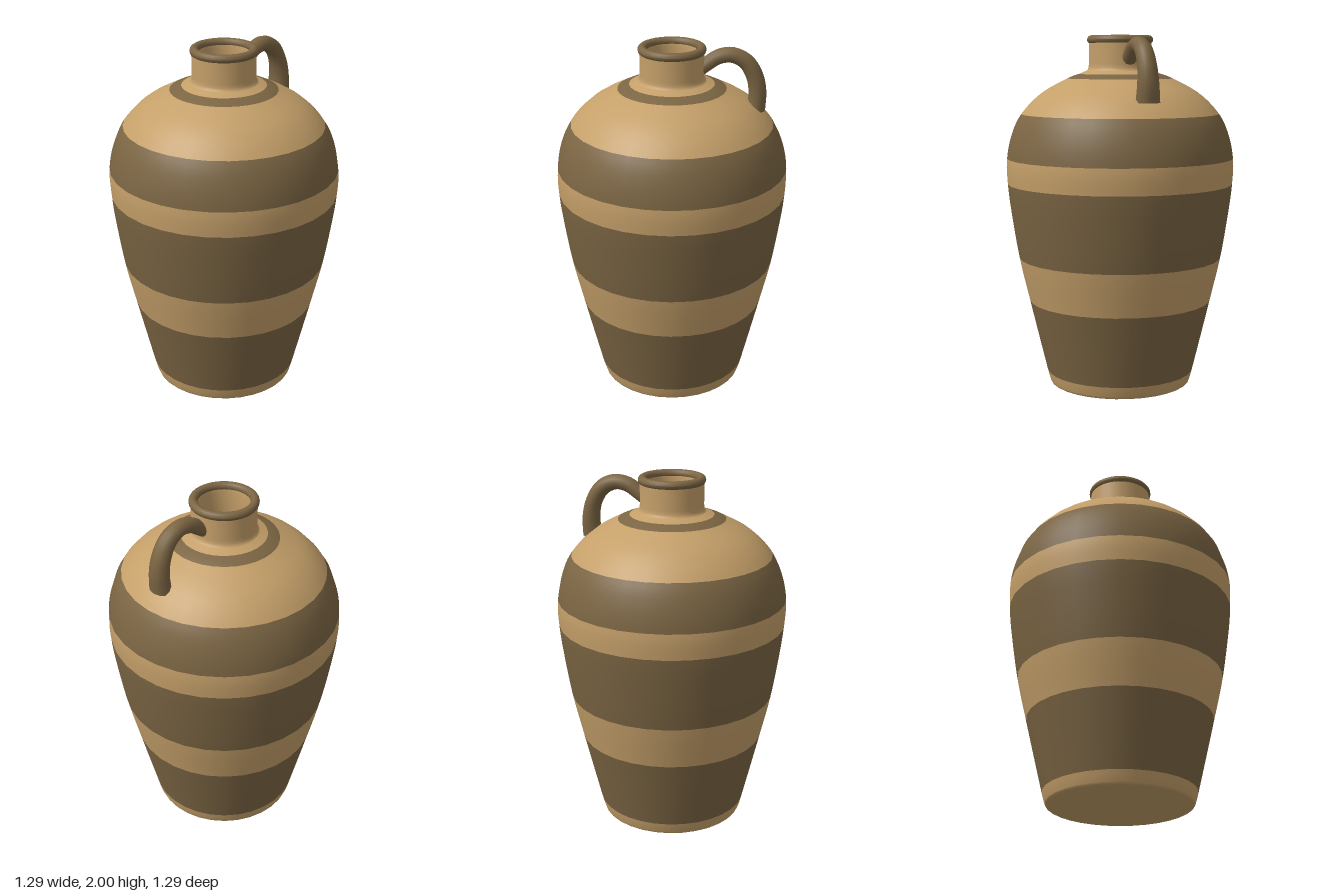
import * as THREE from 'three';

const SEGMENTS = 32;
const tan = new THREE.MeshStandardMaterial({ color: 0xc49f69 });
const dark = new THREE.MeshStandardMaterial({ color: 0x7b6543 });

const toPoints = (list) => list.map(([r, y]) => new THREE.Vector2(r, y));

// Outer body profile, sampled finely so it can be cut at any height
const profile = new THREE.SplineCurve(toPoints([
  [0.407, 0.015], [0.425, 0.08], [0.523, 0.49], [0.58, 0.74], [0.622, 1.0], [0.641, 1.16],
  [0.645, 1.3], [0.618, 1.44], [0.562, 1.56], [0.45, 1.675], [0.3, 1.759], [0.235, 1.784], [0.19, 1.803],
])).getPoints(240);

function radiusAt(y) {
  const i = Math.max(1, profile.findIndex((p) => p.y >= y));
  const a = profile[i - 1], b = profile[i];
  return THREE.MathUtils.lerp(a.x, b.x, (y - a.y) / (b.y - a.y));
}

function turned(name, points, material) {
  const geometry = new THREE.LatheGeometry(points, SEGMENTS, Math.PI / SEGMENTS);
  const mesh = new THREE.Mesh(geometry, material);
  mesh.name = name;
  return mesh;
}

// Handle: a tube on a planar arch, narrow at the neck and broad at the shoulder
function createHandle() {
  const path = new THREE.CatmullRomCurve3([
    [0.15, 1.865], [0.19, 1.895], [0.25, 1.935], [0.325, 1.946],
    [0.4, 1.91], [0.45, 1.83], [0.468, 1.74], [0.463, 1.64],
  ].map(([s, y]) => new THREE.Vector3(s, y, 0)));
  const rings = 28, sides = 12;
  const geometry = new THREE.TubeGeometry(path, rings, 1, sides);
  const pos = geometry.attributes.position;
  const v = new THREE.Vector3();
  for (let i = 0; i <= rings; i++) {
    const t = i / rings;
    const centre = path.getPointAt(t);
    const depth = 0.039 + 0.012 * t;
    const width = 0.044 + 0.026 * t * t;
    for (let j = 0; j <= sides; j++) {
      const k = i * (sides + 1) + j;
      v.fromBufferAttribute(pos, k).sub(centre);
      pos.setXYZ(k, centre.x + v.x * depth, centre.y + v.y * depth, v.z * width);
    }
  }
  const group = new THREE.Group();
  group.name = 'handle';
  const tube = new THREE.Mesh(geometry, dark);
  tube.name = 'handleArch';
  // Closed lower end, resting in the shoulder
  const cap = new THREE.Mesh(new THREE.CircleGeometry(1, sides), dark);
  cap.name = 'handleFoot';
  cap.rotation.x = Math.PI / 2;
  cap.scale.set(0.051, 0.07, 1);
  cap.position.set(0.463, 1.64, 0);
  group.add(tube, cap);
  group.rotation.y = THREE.MathUtils.degToRad(39);
  return group;
}

export function createModel() {
  const jug = new THREE.Group();
  jug.name = 'jug';

  // Painted bands, alternating light and dark up the body
  const cuts = [0.015, 0.075, 0.49, 0.74, 1.165, 1.31, 1.56, 1.759, 1.784, 1.803];
  for (let i = 0; i < cuts.length - 1; i++) {
    const steps = Math.max(3, Math.ceil((cuts[i + 1] - cuts[i]) / 0.025));
    const points = [];
    for (let j = 0; j <= steps; j++) {
      const y = THREE.MathUtils.lerp(cuts[i], cuts[i + 1], j / steps);
      points.push(new THREE.Vector2(radiusAt(y), y));
    }
    jug.add(turned(i % 2 ? 'darkBand' : 'lightBand', points, i % 2 ? dark : tan));
  }

  // Base with a small rounded edge
  jug.add(turned('base', toPoints([[0, 0], [0.385, 0], [0.396, 0.002], [0.404, 0.007], [0.407, 0.015]]), tan));

  // Neck with a fillet into the shoulder
  jug.add(turned('neck', toPoints([[0.19, 1.803], [0.183, 1.809], [0.179, 1.82], [0.177, 1.84], [0.177, 1.97]]), tan));

  // Rolled rim
  const rim = [];
  for (let i = 0; i <= 16; i++) {
    const a = (i / 16) * Math.PI * 2;
    rim.push(new THREE.Vector2(0.163 + 0.024 * Math.cos(a), 1.976 + 0.024 * Math.sin(a)));
  }
  jug.add(turned('rim', rim, dark));

  // Hollow inside, from the mouth down to the floor
  jug.add(turned('inside', toPoints([
    [0.146, 1.985], [0.138, 1.95], [0.136, 1.82], [0.15, 1.775], [0.3, 1.71], [0.5, 1.56], [0.59, 1.4],
    [0.6, 1.25], [0.54, 0.74], [0.4, 0.1], [0.37, 0.05], [0, 0.05],
  ]), tan));

  jug.add(createHandle());
  return jug;
}
